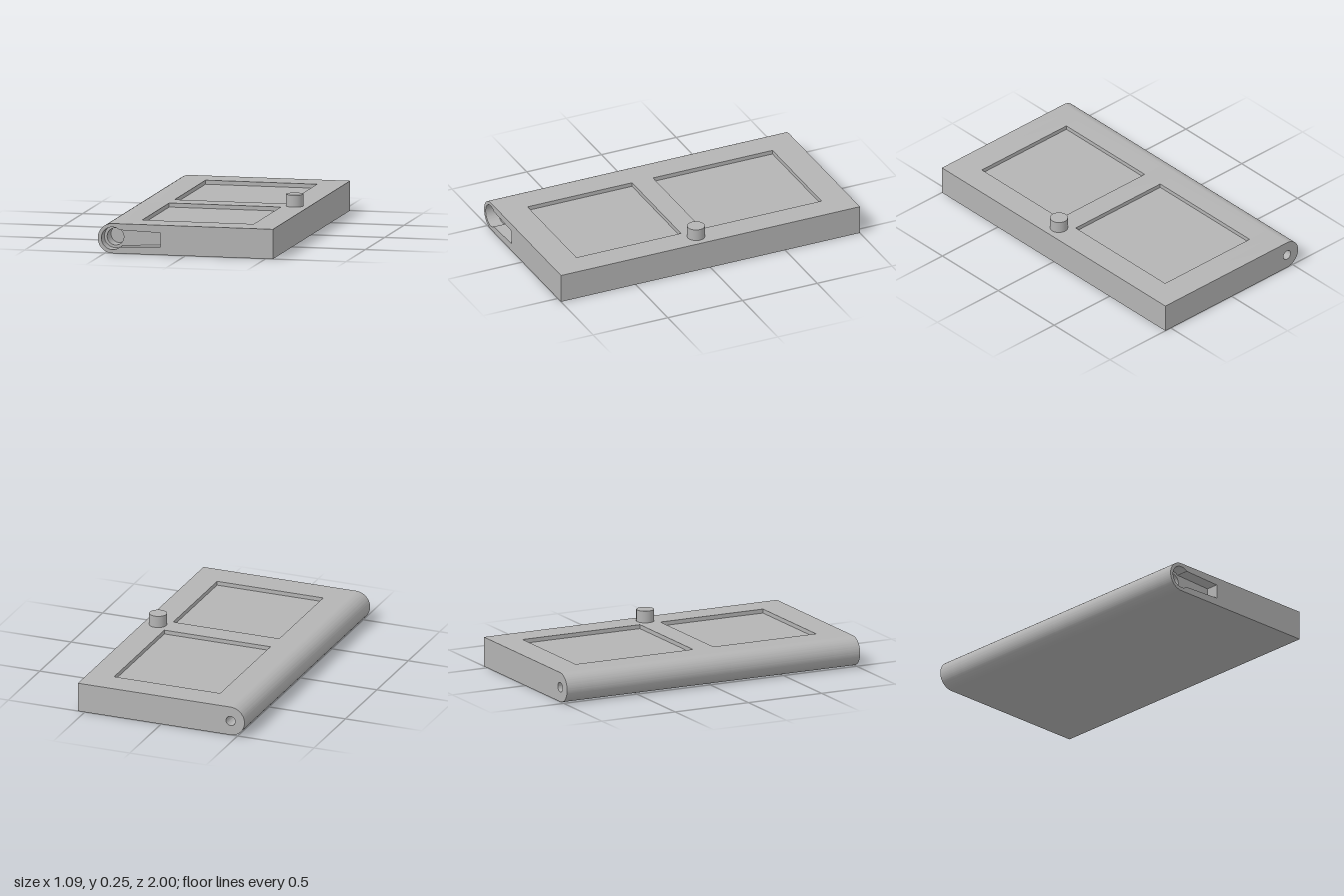
import * as THREE from 'three';
import { toCreasedNormals } from 'three/addons/utils/BufferGeometryUtils.js';

const W = 0.545, H = 0.182, R = H / 2;   // half width, thickness, hinge radius
const HX = -W + R;                       // hinge axis
const RECESS = { left: -0.312, right: 0.382, depth: 0.025 };

// Cross-section of the door: rounded hinge edge, optional panel notch in the top
function section(notched) {
  const s = new THREE.Shape();
  s.moveTo(HX, 0);
  s.lineTo(W, 0);
  s.lineTo(W, H);
  if (notched) {
    s.lineTo(RECESS.right, H);
    s.lineTo(RECESS.right, H - RECESS.depth);
    s.lineTo(RECESS.left, H - RECESS.depth);
    s.lineTo(RECESS.left, H);
  }
  s.lineTo(HX, H);
  s.absarc(HX, R, R, Math.PI / 2, Math.PI * 1.5, false);
  return s;
}

// Round hole on the hinge axis
function bore(radius) {
  const p = new THREE.Path();
  p.absarc(HX, R, radius, 0, Math.PI * 2, true);
  return p;
}

// Keyhole-shaped pocket: round socket with a tapering arm slot
function keyhole() {
  const p = new THREE.Path(), a = 0.87;
  p.absarc(HX, R, 0.069, a, Math.PI * 2 - a, false);
  p.lineTo(-0.155, 0.048);
  p.lineTo(-0.155, 0.135);
  p.closePath();
  return p;
}

export function createModel() {
  const group = new THREE.Group();
  const grey = new THREE.MeshStandardMaterial({ color: 0xb4b4b4 });
  grey.name = 'grey';

  // Door slices from front to back: name, front z, back z, notched, hole
  const slices = [
    ['frontRailSlot', 1, 0.92, false, keyhole()],
    ['frontRailBore', 0.92, 0.82, false, bore(0.052)],
    ['frontPanel', 0.82, 0.12, true, null],
    ['middleRail', 0.12, -0.02, false, null],
    ['backPanel', -0.02, -0.82, true, null],
    ['backRail', -0.82, -0.9, false, null],
    ['backRailBore', -0.9, -1, false, bore(0.03)],
  ];
  for (const [name, front, back, notched, hole] of slices) {
    const shape = section(notched);
    if (hole) shape.holes.push(hole);
    const geo = new THREE.ExtrudeGeometry(shape, {
      depth: front - back, bevelEnabled: false, curveSegments: 32,
    });
    geo.translate(0, 0, back);
    const mesh = new THREE.Mesh(toCreasedNormals(geo, 0.5), grey);
    mesh.name = name;
    group.add(mesh);
  }

  // Knob
  const knob = new THREE.Mesh(new THREE.CylinderGeometry(0.054, 0.054, 0.085, 40), grey);
  knob.name = 'knob';
  knob.position.set(0.453, 0.2125, 0.053);
  group.add(knob);

  return group;
}
